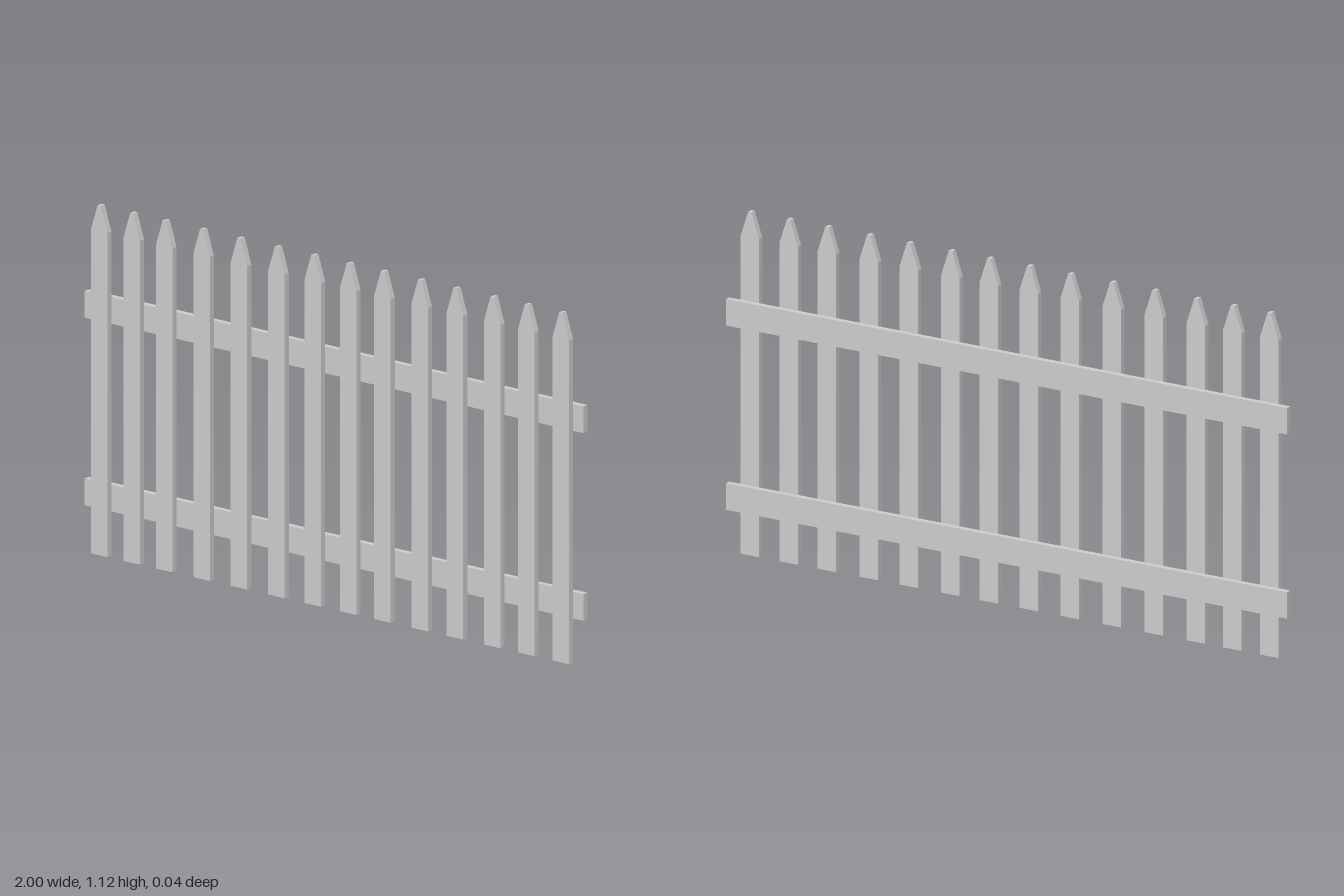
import * as THREE from 'three';

export function createModel() {
  const fence = new THREE.Group();
  fence.name = 'picketFence';
  const material = new THREE.MeshStandardMaterial({ color: 0xcccccc, flatShading: true });
  const depth = 0.02;

  // Pointed picket outline with a slightly blunted tip
  const half = 0.033, shoulder = 1.037, top = 1.12, tip = 0.006;
  const outline = new THREE.Shape([
    [-half, 0], [half, 0], [half, shoulder], [tip, top], [-tip, top], [-half, shoulder],
  ].map(([x, y]) => new THREE.Vector2(x, y)));
  const picketGeometry = new THREE.ExtrudeGeometry(outline, { depth, bevelEnabled: false });

  // Pickets at slightly uneven spacing, in front of the rails
  const centres = [-0.925, -0.794, -0.664, -0.514, -0.364, -0.214, -0.068,
    0.074, 0.211, 0.36, 0.502, 0.651, 0.788, 0.926];
  centres.forEach((x, i) => {
    const picket = new THREE.Mesh(picketGeometry, material);
    picket.name = `picket${i + 1}`;
    picket.position.x = x;
    fence.add(picket);
  });

  // Two horizontal rails behind the pickets
  const railGeometry = new THREE.BoxGeometry(2, 0.086, depth);
  for (const [name, y] of [['lowerRail', 0.185], ['upperRail', 0.786]]) {
    const rail = new THREE.Mesh(railGeometry, material);
    rail.name = name;
    rail.position.set(0, y, -depth / 2);
    fence.add(rail);
  }
  return fence;
}
